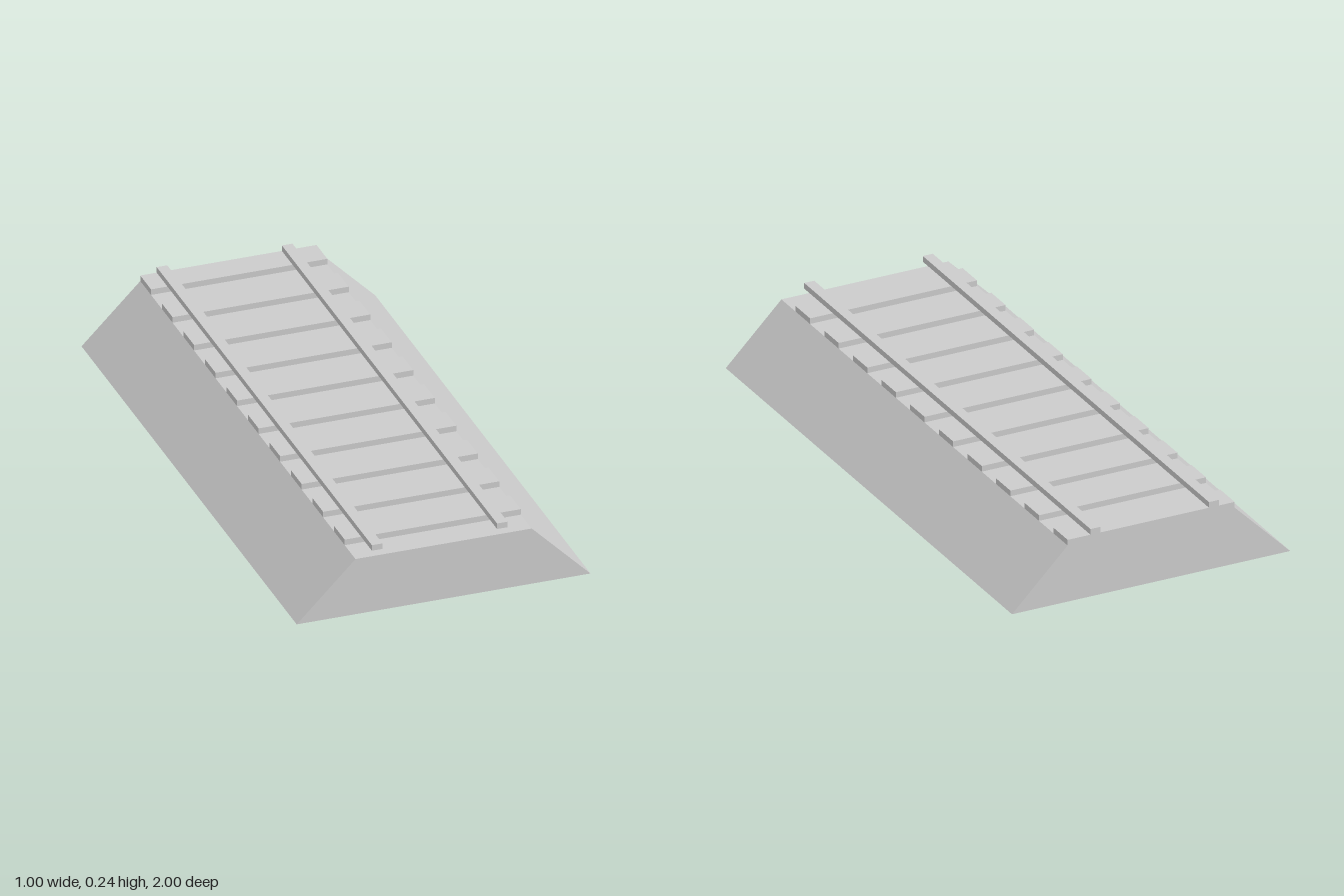
import * as THREE from 'three';

const LENGTH = 2;
const BED_HEIGHT = 0.2;
const TIE_HEIGHT = 0.02;
const RAIL_HEIGHT = 0.02;

export function createModel() {
  const model = new THREE.Group();
  model.name = 'railwayTrack';
  const material = new THREE.MeshStandardMaterial({ color: 0xcccccc, flatShading: true });

  const add = (name, geometry, x, y, z) => {
    const mesh = new THREE.Mesh(geometry, material);
    mesh.name = name;
    mesh.position.set(x, y, z);
    model.add(mesh);
  };

  // Embankment: trapezoid section run along the track
  const section = new THREE.Shape([
    new THREE.Vector2(-0.5, 0),
    new THREE.Vector2(0.5, 0),
    new THREE.Vector2(0.3, BED_HEIGHT),
    new THREE.Vector2(-0.3, BED_HEIGHT),
  ]);
  const bed = new THREE.ExtrudeGeometry(section, { depth: LENGTH, bevelEnabled: false });
  add('embankment', bed, 0, 0, -LENGTH / 2);

  // Sleepers: evenly spaced, the first flush with the back end
  const tie = new THREE.BoxGeometry(0.6, TIE_HEIGHT, 0.1);
  for (let i = 0; i < 10; i++) {
    add(`sleeper${i + 1}`, tie, 0, BED_HEIGHT + TIE_HEIGHT / 2, -0.95 + i * 0.2);
  }

  // Rails: resting on the sleepers, slightly off centre as a pair
  const rail = new THREE.BoxGeometry(0.036, RAIL_HEIGHT, LENGTH);
  const railY = BED_HEIGHT + TIE_HEIGHT + RAIL_HEIGHT / 2;
  add('leftRail', rail, 0.2, railY, 0);
  add('rightRail', rail, -0.226, railY, 0);

  return model;
}
